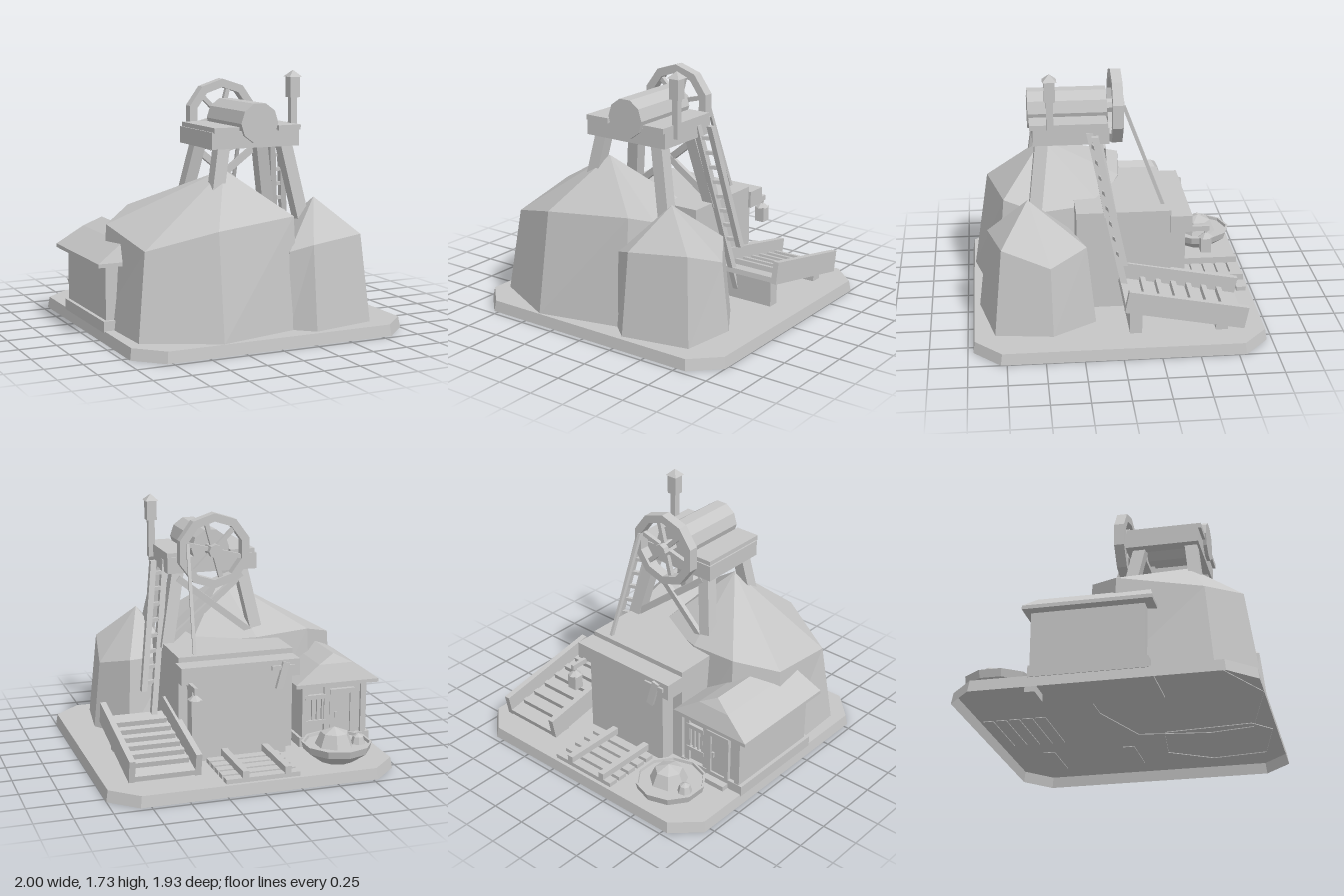
import * as THREE from 'three';
import { ConvexGeometry } from 'three/addons/geometries/ConvexGeometry.js';

export function createModel() {
  const root = new THREE.Group();
  const stone = new THREE.MeshStandardMaterial({ color: 0xc6c6c6, flatShading: true, side: THREE.DoubleSide });
  stone.name = 'plain grey';
  const V = (x, y, z) => new THREE.Vector3(x, y, z);

  function add(name, geo, parent = root) {
    const m = new THREE.Mesh(geo, stone);
    m.name = name;
    parent.add(m);
    return m;
  }
  // Box given by its limits on each axis
  function box(name, x0, x1, y0, y1, z0, z1, parent) {
    const m = add(name, new THREE.BoxGeometry(x1 - x0, y1 - y0, z1 - z0), parent);
    m.position.set((x0 + x1) / 2, (y0 + y1) / 2, (z0 + z1) / 2);
    return m;
  }
  // Straight timber running between two points
  function beam(name, a, b, w, d = w, parent = root) {
    const m = add(name, new THREE.BoxGeometry(w, d, a.distanceTo(b)), parent);
    m.position.copy(a).add(b).multiplyScalar(0.5);
    m.quaternion.setFromRotationMatrix(new THREE.Matrix4().lookAt(b, a, V(0, 1, 0)));
    return m;
  }
  // Leaning post whose cross-section stays square to x and z
  function post(name, a, b, w, d, parent) {
    const pts = [];
    for (const p of [a, b])
      for (const i of [-0.5, 0.5])
        for (const j of [-0.5, 0.5]) pts.push(V(p.x + i * w, p.y, p.z + j * d));
    return add(name, new ConvexGeometry(pts), parent);
  }
  // Faceted shell, open below: foot ring, shoulder ring and peak
  function shell(name, footY, foot, shoulder, peak) {
    const pos = [], n = foot.length;
    for (let i = 0; i < n; i++) {
      const j = (i + 1) % n;
      const b0 = [foot[i][0], footY, foot[i][1]], b1 = [foot[j][0], footY, foot[j][1]];
      const t0 = shoulder[i], t1 = shoulder[j];
      pos.push(...b0, ...b1, ...t1, ...b0, ...t1, ...t0, ...t0, ...t1, ...peak);
    }
    const g = new THREE.BufferGeometry();
    g.setAttribute('position', new THREE.Float32BufferAttribute(pos, 3));
    g.computeVertexNormals();
    add(name, g);
  }

  // Hollow base slab with cut corners and a slight taper
  const baseRing = [[-0.96, 0.79], [-0.785, 0.965], [0.82, 0.965], [1, 0.79],
    [1, -0.8], [0.82, -0.965], [-0.785, -0.965], [-0.96, -0.8]];
  shell('base', 0, baseRing, baseRing.map(([x, z]) => [x * 0.988, 0.075, z * 0.988]), [0, 0.075, 0]);

  // Two rock masses
  shell('largeRock', 0.07,
    [[-0.87, 0.71], [-0.39, 0.945], [0.215, 0.8], [0.27, 0.5], [0.2, 0.02], [-0.24, -0.14], [-0.63, -0.15], [-0.89, 0.09]],
    [[-0.8, 0.64, 0.65], [-0.38, 0.765, 0.84], [0.205, 0.807, 0.735], [0.24, 0.72, 0.5], [0.17, 0.74, 0.08],
      [-0.25, 0.78, -0.08], [-0.61, 0.82, -0.11], [-0.845, 0.733, 0.1]],
    [-0.163, 1.1, 0.456]);
  shell('smallRock', 0.07,
    [[0.147, 0.795], [0.286, 0.917], [0.74, 0.82], [0.79, 0.44], [0.607, 0.147], [0.2, 0.2]],
    [[0.155, 0.583, 0.775], [0.29, 0.63, 0.85], [0.69, 0.66, 0.765], [0.74, 0.54, 0.45], [0.58, 0.61, 0.205], [0.24, 0.6, 0.3]],
    [0.436, 0.9, 0.58]);

  // Mine entrance block with lintel and broken plank
  const mine = new THREE.Group();
  mine.name = 'mineEntrance';
  root.add(mine);
  box('entranceBlock', -0.4, 0.4, 0.076, 0.77, -0.375, 0.26, mine);
  box('entranceWall', -0.32, 0.34, 0.076, 0.64, -0.48, -0.37, mine);
  box('lintel', -0.4, 0.42, 0.62, 0.735, -0.515, -0.37, mine);
  beam('brokenPlank', V(-0.3, 0.72, -0.52), V(-0.25, 0.54, -0.525), 0.025, 0.05, mine);
  box('plankCleat', -0.36, -0.2, 0.67, 0.7, -0.53, -0.51, mine);

  // Hanging lantern on its arm
  box('lanternArm', 0.348, 0.372, 0.6, 0.635, -0.64, -0.44, mine);
  box('lanternHook', 0.352, 0.368, 0.56, 0.61, -0.625, -0.605, mine);
  box('lanternBody', 0.325, 0.395, 0.45, 0.555, -0.65, -0.58, mine);
  const hat = add('lanternCap', new THREE.ConeGeometry(0.05, 0.04, 6), mine);
  hat.position.set(0.36, 0.572, -0.615);

  // Track: sleepers and rails
  for (let i = 0; i < 5; i++) {
    const z = -0.54 - i * 0.089;
    box('sleeper', -0.25, 0.25, 0.07, 0.105, z - 0.033, z + 0.033);
  }
  for (const x of [-0.168, 0.118]) box('rail', x - 0.022, x + 0.022, 0.1, 0.15, -0.93, -0.47);

  // Sloping sluice with side boards, slats and trestles
  const sluice = new THREE.Group();
  sluice.name = 'sluice';
  sluice.position.set(0.617, 0.26, -0.427);
  sluice.rotation.x = -Math.atan2(0.15, 0.78);
  root.add(sluice);
  box('sluiceBed', -0.2, 0.2, -0.07, -0.035, -0.4, 0.4, sluice);
  for (const x of [-0.218, 0.218]) box('sideBoard', x - 0.02, x + 0.02, -0.075, 0.075, -0.4, 0.4, sluice);
  for (let i = 0; i < 6; i++) {
    const z = -0.28 + i * 0.106;
    box('slat', -0.185, 0.175, -0.04, 0.0, z - 0.018, z + 0.018, sluice);
  }
  box('sluiceTrestle', 0.43, 0.79, 0.07, 0.25, -0.14, -0.06);
  box('sluiceTrestle', 0.43, 0.79, 0.07, 0.15, -0.71, -0.63);

  // Hut with a two-pitch hipped roof
  const hut = new THREE.Group();
  hut.name = 'hut';
  root.add(hut);
  box('hutWalls', -0.93, -0.46, 0.076, 0.53, -0.4, 0.3, hut);
  box('hutFooting', -0.955, -0.44, 0.065, 0.14, -0.425, 0.325, hut);
  box('doorStep', -0.84, -0.66, 0.015, 0.11, -0.475, -0.41, hut);
  const roofPts = [], zc = -0.05;
  for (const s of [-1, 1]) {
    for (const x of [-1, -0.4]) roofPts.push(V(x, 0.5, zc + s * 0.41), V(x, 0.525, zc + s * 0.41));
    for (const x of [-0.82, -0.58]) roofPts.push(V(x, 0.645, zc + s * 0.365));
    roofPts.push(V(-0.7, 0.705, zc + s * 0.32));
  }
  add('hutRoof', new ConvexGeometry(roofPts), hut);
  for (const x of [-0.91, -0.64, -0.48]) box('hutPost', x - 0.02, x + 0.02, 0.08, 0.51, -0.42, -0.39, hut);
  box('hutDoor', -0.81, -0.69, 0.14, 0.43, -0.412, -0.4, hut);
  box('doorHead', -0.84, -0.66, 0.43, 0.465, -0.43, -0.4, hut);
  for (const x of [-0.825, -0.675]) box('doorJamb', x - 0.015, x + 0.015, 0.09, 0.44, -0.425, -0.4, hut);
  box('doorHandle', -0.715, -0.7, 0.26, 0.3, -0.425, -0.41, hut);
  for (const y of [0.24, 0.42]) box('windowRail', -0.63, -0.48, y - 0.015, y + 0.015, -0.425, -0.4, hut);
  for (let i = 0; i < 4; i++) {
    const x = -0.61 + i * 0.036;
    box('windowBar', x - 0.007, x + 0.007, 0.24, 0.42, -0.417, -0.4, hut);
  }

  // Ore pan and its heap
  const panProfile = [[0, 0.076], [0.12, 0.076], [0.222, 0.15], [0.235, 0.2], [0.22, 0.2], [0.216, 0.18], [0, 0.18]];
  const pan = add('orePan', new THREE.LatheGeometry(panProfile.map(p => new THREE.Vector2(...p)), 10));
  pan.position.set(-0.592, 0, -0.71);
  for (const [x, z, r, h] of [[-0.575, -0.71, 0.13, 0.125], [-0.735, -0.735, 0.05, 0.07]]) {
    const heap = add('oreHeap', new THREE.SphereGeometry(1, 7, 2, 0, Math.PI * 2, 0, Math.PI / 2));
    heap.scale.set(r, h, r);
    heap.position.set(x, 0.178, z);
  }

  // Headframe platform
  const frame = new THREE.Group();
  frame.name = 'headframe';
  root.add(frame);
  for (const z of [0.085, 0.485]) box('crossBeam', -0.285, 0.35, 1.24, 1.35, z - 0.05, z + 0.05, frame);
  for (const x of [-0.24, 0.305]) box('sideBeam', x - 0.045, x + 0.045, 1.24, 1.35, 0.13, 0.44, frame);
  box('deckBoard', -0.275, -0.1, 1.345, 1.38, 0.045, 0.555, frame);
  box('deckBoard', 0.19, 0.35, 1.345, 1.38, 0.045, 0.555, frame);

  // Splayed legs and cross braces
  for (const [name, z0, z1] of [['frontLeg', 0.475, 0.535], ['rearLeg', 0.12, 0.03]]) {
    post(name, V(-0.19, 1.25, z0), V(-0.285, 0.76, z1), 0.085, 0.085, frame);
    post(name, V(0.265, 1.25, z0), V(0.37, 0.74, z1), 0.085, 0.085, frame);
  }
  beam('brace', V(-0.19, 1.2, 0.08), V(0.33, 0.79, 0.02), 0.03, 0.045, frame);
  beam('brace', V(0.27, 1.2, 0.07), V(-0.25, 0.79, 0.01), 0.03, 0.045, frame);

  // Winding drum
  const drum = add('windingDrum', new THREE.CylinderGeometry(0.134, 0.134, 0.525, 10), frame);
  drum.rotation.set(Math.PI / 2, Math.PI / 10, 0);
  drum.position.set(0.047, 1.4, 0.297);

  // Spoked wheel behind the drum
  const wheel = new THREE.Group();
  wheel.name = 'wheel';
  wheel.position.set(0.047, 1.4, -0.03);
  frame.add(wheel);
  const ring = r => Array.from({ length: 10 }, (_, i) =>
    new THREE.Vector2(Math.sin(i * Math.PI / 5) * r, Math.cos(i * Math.PI / 5) * r));
  const rim = new THREE.Shape(ring(0.257));
  rim.holes.push(new THREE.Path(ring(0.2)));
  add('wheelRim', new THREE.ExtrudeGeometry(rim, { depth: 0.07, bevelEnabled: false }), wheel).position.z = -0.035;
  for (let i = 0; i < 6; i++) {
    const a = i * Math.PI / 3 + 0.26;
    beam('spoke', V(0, 0, 0), V(Math.cos(a) * 0.205, Math.sin(a) * 0.205, 0), 0.03, 0.03, wheel);
  }
  add('hub', new THREE.CylinderGeometry(0.048, 0.048, 0.12, 8), wheel).rotation.x = Math.PI / 2;

  // Hoist cable
  beam('cable', V(0.24, 1.46, -0.07), V(0.275, 0.76, -0.335), 0.022, 0.022, frame);

  // Leaning ladder with one short rail
  const ladder = new THREE.Group();
  ladder.name = 'ladder';
  root.add(ladder);
  const top = V(0.425, 1.32, 0.135), foot = V(0.55, 0.46, -0.045), gap = V(-0.09, 0, 0.03);
  post('shortRail', top, foot, 0.04, 0.045, ladder);
  post('longRail', top.clone().add(gap), top.clone().lerp(foot, 1.44).add(gap), 0.04, 0.045, ladder);
  for (let i = 0; i < 8; i++) {
    const p = top.clone().lerp(foot, 0.1 + i * 0.12);
    beam('rung', p, p.clone().add(gap), 0.025, 0.025, ladder);
  }

  // Lamp post on the platform
  box('lampPost', 0.337, 0.382, 1.29, 1.56, 0.4, 0.445, frame);
  box('lampHousing', 0.325, 0.395, 1.55, 1.69, 0.388, 0.458, frame);
  const cap = add('lampCap', new THREE.ConeGeometry(0.065, 0.045, 4), frame);
  cap.position.set(0.36, 1.708, 0.423);
  cap.rotation.y = Math.PI / 4;

  return root;
}
